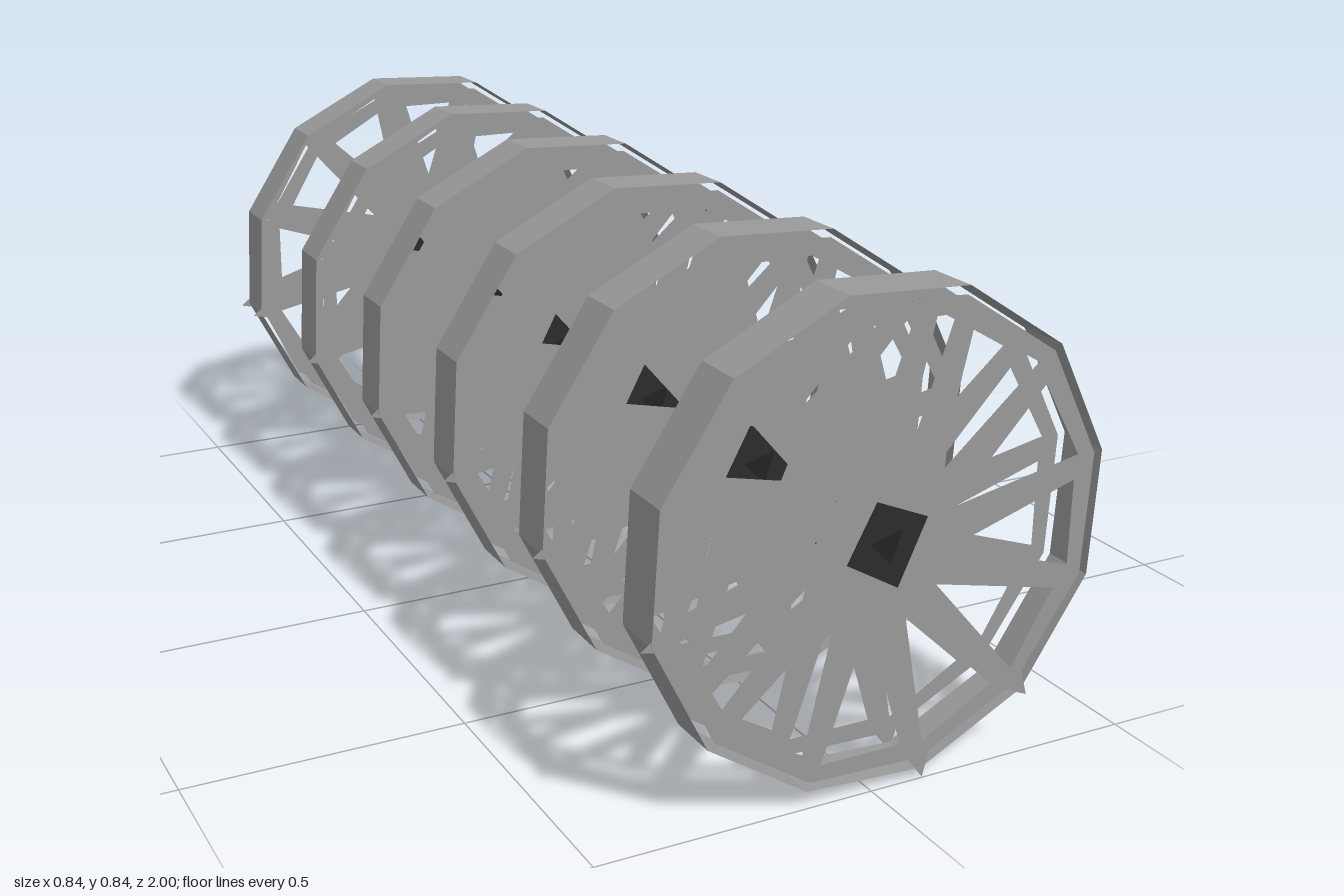
import * as THREE from 'three';

const SIDES = 12, STEP = 360 / SIDES, START = 12;
const CX = 0.008, CY = 0.432;
const WIDTH = 0.094, SPACING = 0.381, COUNT = 6;

const polar = (r, deg) => new THREE.Vector2(
  r * Math.cos(THREE.MathUtils.degToRad(deg)),
  r * Math.sin(THREE.MathUtils.degToRad(deg)));
const points = (list) => list.map(([x, y]) => new THREE.Vector2(x, y));

// small triangular opening through the axle
const axleHole = () => new THREE.Path(points([[-0.033, 0.006], [0.007, -0.035], [0.026, 0.022]]));

// twelve-sided plate with slanted spokes and three small corner spikes
function plateShape() {
  const outline = [];
  for (let k = 0; k < SIDES; k++) {
    const a = START + k * STEP;
    if ([6, 9, 10].includes(k)) {
      outline.push(polar(0.397, a - 3), polar(0.44, a), polar(0.397, a + 3));
    } else outline.push(polar(0.406, a));
  }
  const shape = new THREE.Shape(outline);
  for (let k = 0; k < SIDES; k++) {
    const a = k * STEP;
    shape.holes.push(new THREE.Path([
      polar(0.131, a + 18), polar(0.362, a + 37), polar(0.374, a + 13.5)]));
  }
  shape.holes.push(axleHole());
  return shape;
}

// open twelve-sided band around the plates
function bandGeometry() {
  const g = new THREE.CylinderGeometry(0.421, 0.421, WIDTH, SIDES, 1, true).toNonIndexed();
  g.rotateX(Math.PI / 2);
  g.rotateZ(THREE.MathUtils.degToRad(START));
  g.computeVertexNormals();
  return g;
}

// dark square axle block
function hubGeometry() {
  const shape = new THREE.Shape(points([[-0.073, -0.022], [0.022, -0.077], [0.072, 0.034], [-0.022, 0.074]]));
  shape.holes.push(axleHole());
  const depth = WIDTH + 0.004;
  return new THREE.ExtrudeGeometry(shape, { depth, bevelEnabled: false }).translate(0, 0, -depth / 2);
}

export function createModel() {
  const model = new THREE.Group();
  model.name = 'wheelRow';
  const metal = new THREE.MeshStandardMaterial({ color: 0x999999, side: THREE.DoubleSide });
  metal.name = 'grey metal';
  const dark = new THREE.MeshStandardMaterial({ color: 0x2c2c2c });
  dark.name = 'dark axle';

  const plate = new THREE.ShapeGeometry(plateShape());
  const band = bandGeometry();
  const hub = hubGeometry();
  const add = (parent, geometry, material, name, z = 0) => {
    const mesh = new THREE.Mesh(geometry, material);
    mesh.name = name;
    mesh.position.z = z;
    parent.add(mesh);
  };

  // six identical wheels in a row
  for (let i = 0; i < COUNT; i++) {
    const wheel = new THREE.Group();
    wheel.name = `wheel${i + 1}`;
    wheel.position.set(CX, CY, (i - (COUNT - 1) / 2) * SPACING);
    add(wheel, band, metal, 'rimBand');
    add(wheel, plate, metal, 'frontSpokePlate', WIDTH / 2 - 0.001);
    add(wheel, plate, metal, 'backSpokePlate', -WIDTH / 2 + 0.001);
    add(wheel, hub, dark, 'axleBlock');
    model.add(wheel);
  }
  return model;
}
